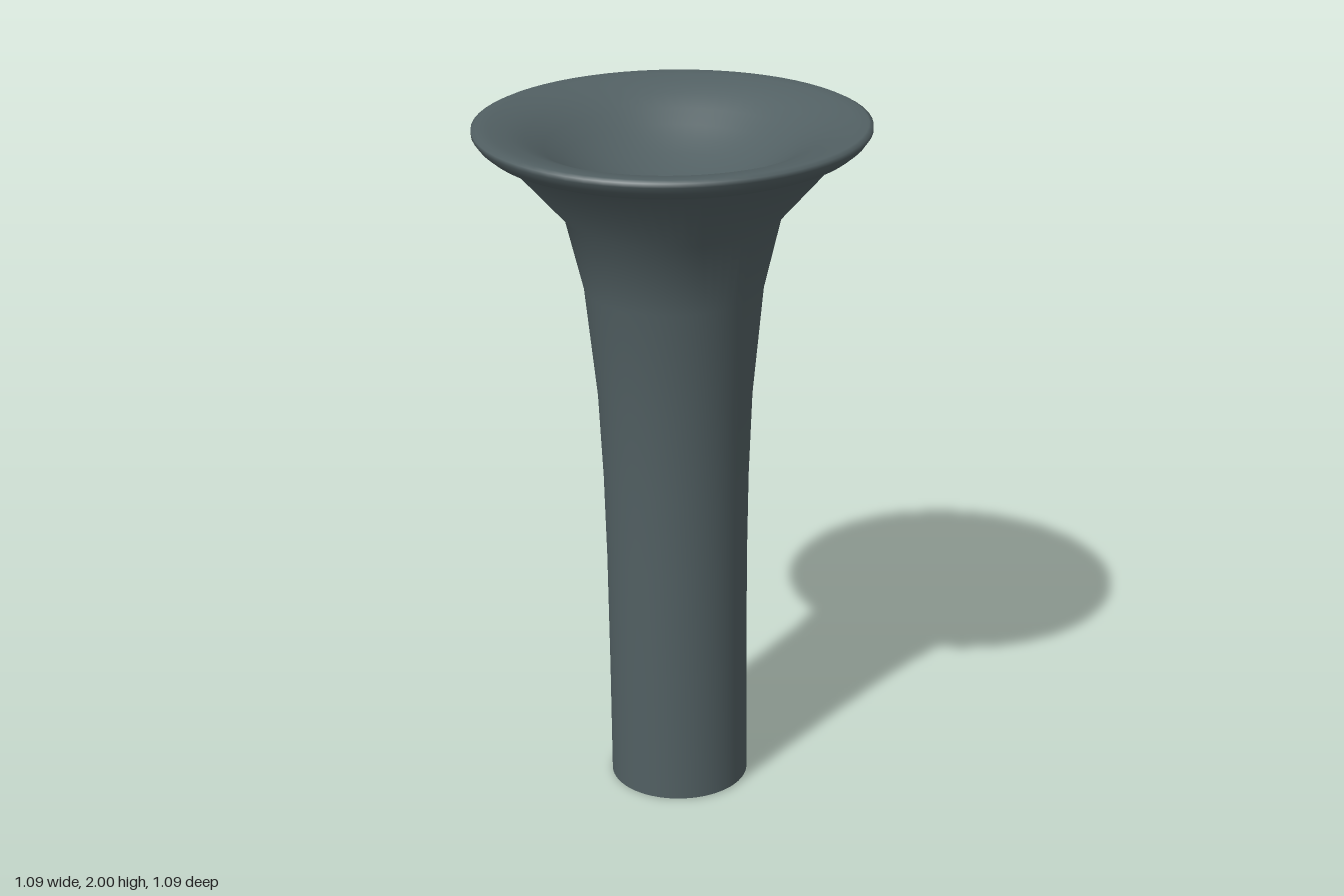
import * as THREE from 'three';

export function createModel() {
  const group = new THREE.Group();
  // Double-sided because the stem is an open shell at the bottom
  const material = new THREE.MeshStandardMaterial({ color: 0x526063, side: THREE.DoubleSide });

  // Outer wall as [radius, height]: straight stem, flare, rolled rim
  const outer = [
    [0.2, 0], [0.2, 0.35], [0.202, 0.7], [0.207, 0.95], [0.218, 1.2],
    [0.25, 1.52], [0.3, 1.73], [0.463, 1.915], [0.507, 1.932],
    [0.531, 1.952], [0.545, 1.972], [0.545, 1.984], [0.533, 1.99],
  ];
  // Bowl: gentle lip falling into a shallow rounded dish
  const bowl = [
    [0.5, 1.987], [0.45, 1.976], [0.4, 1.957], [0.35, 1.928], [0.3, 1.894],
    [0.25, 1.864], [0.2, 1.84], [0.14, 1.818], [0.07, 1.803], [0, 1.798],
  ];
  const points = [...outer, ...bowl].map(([r, y]) => new THREE.Vector2(r, y));
  const horn = new THREE.Mesh(new THREE.LatheGeometry(points, 64), material);
  horn.name = 'flaredHorn';

  // The whole piece leans very slightly
  horn.rotation.z = 0.0145;
  horn.position.set(0.029, 0.003, 0);
  group.add(horn);
  return group;
}
